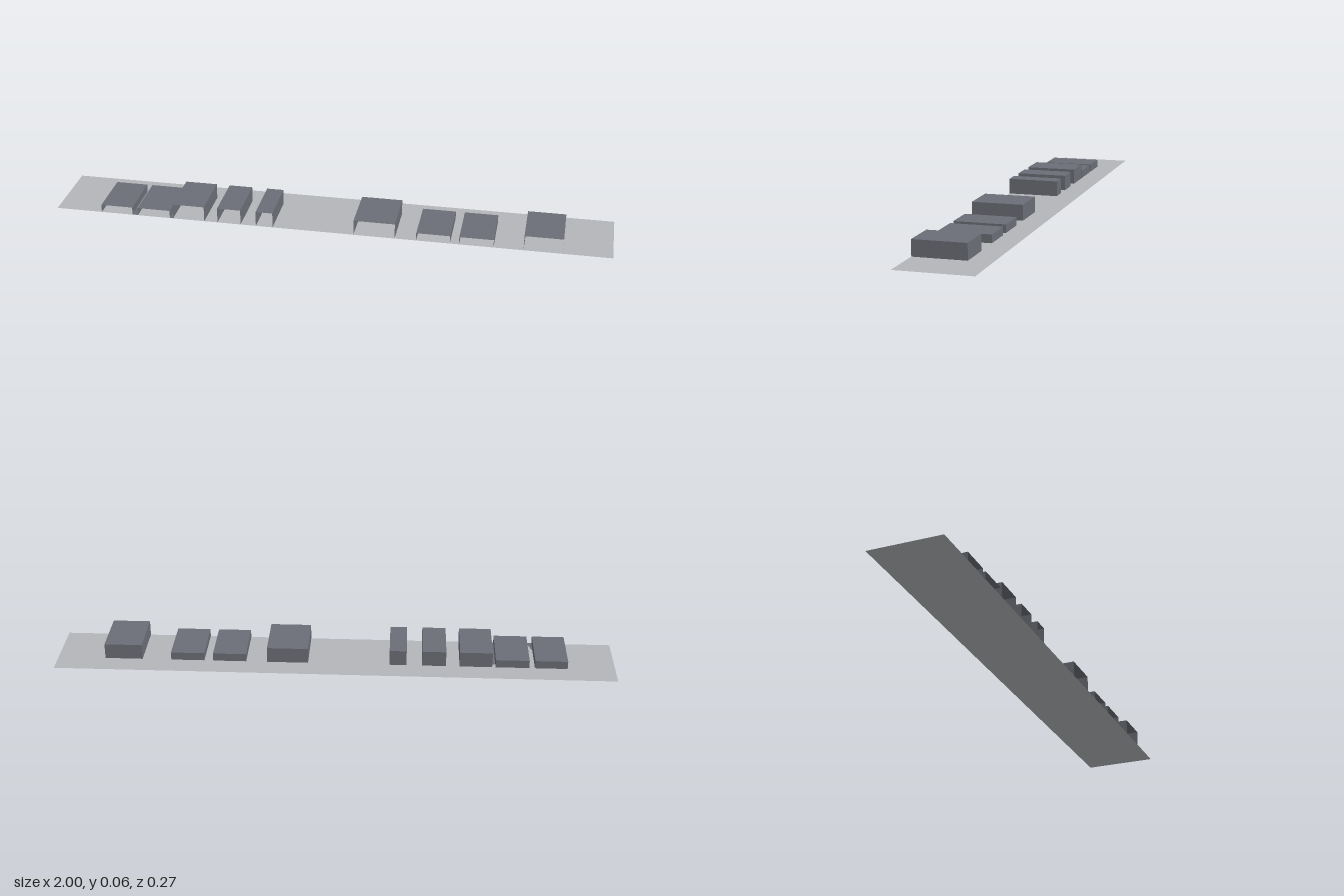
import * as THREE from 'three';

const FRONT = 0.133, BACK = -0.052;

export function createModel() {
  const model = new THREE.Group();
  const groundGrey = new THREE.MeshStandardMaterial({ color: 0xb4b5b9, side: THREE.DoubleSide });
  groundGrey.name = 'groundGrey';
  const blockGrey = new THREE.MeshStandardMaterial({ color: 0x6b6e76, side: THREE.DoubleSide });
  blockGrey.name = 'blockGrey';

  // Flat panel placed by centre, size and rotation
  function panel(parent, name, material, [w, h], [x, y, z], rx = 0, ry = 0) {
    const mesh = new THREE.Mesh(new THREE.PlaneGeometry(w, h), material);
    mesh.name = name;
    mesh.position.set(x, y, z);
    mesh.rotation.set(rx, ry, 0);
    parent.add(mesh);
  }

  // Ground sheet
  panel(model, 'ground', groundGrey, [2, 2 * FRONT], [0, 0, 0], -Math.PI / 2);

  // Blocks, open at the front: left edge, right edge, height
  const blocks = [
    [-0.831, -0.715, 0.029], [-0.695, -0.575, 0.029], [-0.563, -0.447, 0.056],
    [-0.398, -0.313, 0.056], [-0.257, -0.196, 0.056], [0.096, 0.243, 0.056],
    [0.319, 0.438, 0.029], [0.470, 0.590, 0.029], [0.694, 0.829, 0.056],
  ];
  const depth = FRONT - BACK, midZ = (FRONT + BACK) / 2;
  for (const [x0, x1, h] of blocks) {
    const block = new THREE.Group();
    block.name = 'block';
    const w = x1 - x0, cx = (x0 + x1) / 2;
    panel(block, 'roof', blockGrey, [w, depth], [cx, h, midZ], -Math.PI / 2);
    panel(block, 'backWall', blockGrey, [w, h], [cx, h / 2, BACK], 0, Math.PI);
    panel(block, 'leftWall', blockGrey, [depth, h], [x1, h / 2, midZ], 0, Math.PI / 2);
    panel(block, 'rightWall', blockGrey, [depth, h], [x0, h / 2, midZ], 0, -Math.PI / 2);
    model.add(block);
  }

  // Narrow paving strip between two neighbouring blocks
  panel(model, 'pavingStrip', blockGrey, [0.012, 0.165], [-0.569, 0.001, 0.05], -Math.PI / 2);

  // Small paving wedge between the first two blocks
  const wedge = new THREE.Shape([[-0.715, -0.075], [-0.715, -FRONT], [-0.695, -FRONT]]
    .map(([x, y]) => new THREE.Vector2(x, y)));
  const wedgeMesh = new THREE.Mesh(new THREE.ShapeGeometry(wedge), blockGrey);
  wedgeMesh.name = 'pavingWedge';
  wedgeMesh.rotation.x = -Math.PI / 2;
  wedgeMesh.position.y = 0.001;
  model.add(wedgeMesh);

  return model;
}
